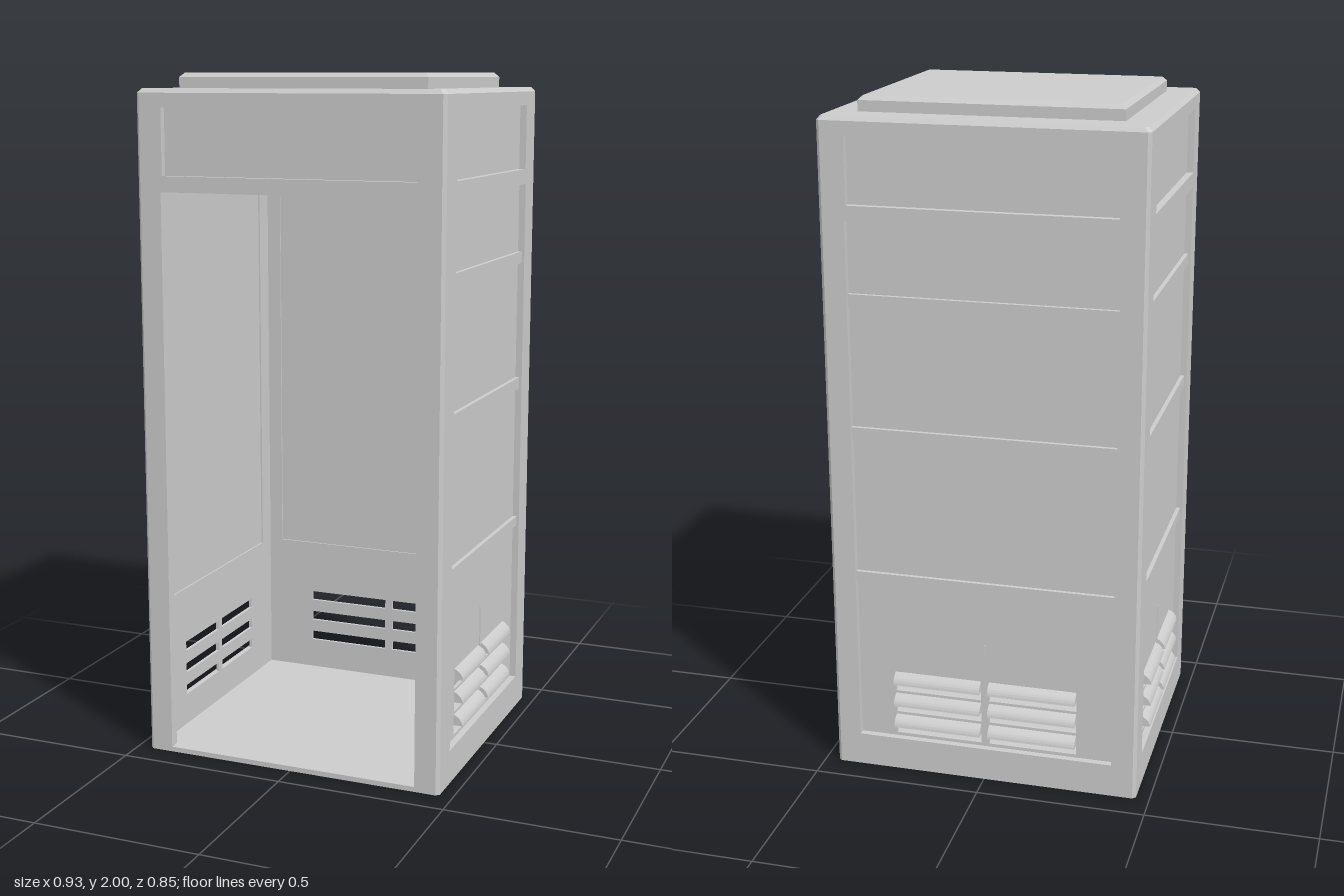
import * as THREE from 'three';

const mat = new THREE.MeshStandardMaterial({ color: 0xcccccc, side: THREE.DoubleSide });

function add(parent, name, geometry, x = 0, y = 0, z = 0) {
  const mesh = new THREE.Mesh(geometry, mat);
  mesh.name = name;
  mesh.position.set(x, y, z);
  parent.add(mesh);
  return mesh;
}

// box given by its min and max corners
function block(parent, name, [x0, y0, z0], [x1, y1, z1]) {
  return add(parent, name, new THREE.BoxGeometry(x1 - x0, y1 - y0, z1 - z0),
    (x0 + x1) / 2, (y0 + y1) / 2, (z0 + z1) / 2);
}

const polygon = (pts) => new THREE.Shape(pts.map(([x, y]) => new THREE.Vector2(x, y)));
const rect = (x0, y0, x1, y1) => polygon([[x0, y0], [x1, y0], [x1, y1], [x0, y1]]);
const extrude = (shape, depth) => new THREE.ExtrudeGeometry(shape, { depth, bevelEnabled: false, curveSegments: 6 });

// flat sheet in the xy plane with rectangular holes
function sheet(outer, holes, depth) {
  const shape = rect(...outer);
  shape.holes = holes.map((h) => rect(...h));
  return extrude(shape, depth);
}

// plan outline (x, z) raised between two heights
function prism(pts, y0, y1) {
  const g = extrude(polygon(pts.map(([x, z]) => [x, -z])), y1 - y0);
  return g.rotateX(-Math.PI / 2).translate(0, y0, 0);
}

// slab whose top is inset by a bevel
function bevelTop(g, hx, hz, inset) {
  g.computeBoundingBox();
  const p = g.attributes.position, top = g.boundingBox.max.y - 1e-4;
  for (let i = 0; i < p.count; i++) {
    if (p.getY(i) > top) {
      p.setX(i, p.getX(i) * (hx - inset) / hx);
      p.setZ(i, p.getZ(i) * (hz - inset) / hz);
    }
  }
  g.computeVertexNormals();
  return g;
}

const HX = 0.46, HZ = 0.42, T = 0.03, C = 0.01, TOP = 1.945;
const SLOT_Y = [0.11, 0.18, 0.25], SLOT_H = 0.03;

// one wall, built facing +z at distance d, then turned into place
function makeWall(name, angle, hw, d, openHalf, slotEnd, isDoor) {
  const wall = new THREE.Group();
  wall.name = name;
  wall.rotation.y = angle;
  const sign = [-openHalf + 0.005, 1.715, openHalf - 0.005, 1.905];
  const opening = [-openHalf, isDoor ? 0.015 : 0.1, openHalf, 1.67];
  add(wall, 'wallFrame', sheet([-hw, 0, hw, TOP], [sign, opening], T), 0, 0, d - T);
  block(wall, 'signPanel', [sign[0], sign[1], d - T], [sign[2], sign[3], d - 0.02]);
  if (isDoor) return wall;

  block(wall, 'windowPane', [-openHalf, 0.45, d - 0.025], [openHalf, 1.67, d - 0.02]);
  for (const [y0, y1] of [[0.6, 0.63], [1.04, 1.075], [1.43, 1.465]])
    block(wall, 'windowBar', [-openHalf, y0, d - 0.02], [openHalf, y1, d - 0.008]);

  // lower panel with two columns of vent slots and a hood above each slot
  const slots = [];
  for (const s of [-1, 1]) for (const y of SLOT_Y) {
    const a = s * 0.012, b = s * slotEnd;
    slots.push([Math.min(a, b), y, Math.max(a, b), y + SLOT_H]);
  }
  add(wall, 'ventPanel', sheet([-openHalf, 0.1, openHalf, 0.45], slots, 0.01), 0, 0, d - T);
  for (const [x0, , x1, y] of slots) {
    const hood = new THREE.Shape();
    hood.moveTo(d - 0.02, y);
    hood.lineTo(d + 0.007, y);
    hood.quadraticCurveTo(d + 0.004, y + 0.022, d - 0.02, y + 0.032);
    add(wall, 'ventHood', extrude(hood, x1 - x0).rotateY(-Math.PI / 2), x1, 0, 0);
  }
  block(wall, 'ventSeam', [-0.002, 0.28, d - 0.02], [0.002, 0.43, d - 0.017]);
  return wall;
}

function makePhone() {
  const phone = new THREE.Group();
  phone.name = 'wallPhone';
  const back = -HZ + 0.025, face = back + 0.11;
  block(phone, 'backPlate', [0.205, 0.95, back], [0.385, 1.455, back + 0.02]);
  // body with one sloping side
  add(phone, 'phoneBody', prism(
    [[0.185, back + 0.02], [0.185, face], [0.335, face], [0.37, back + 0.02]], 0.975, 1.44));

  // cradle: raised plate with an upper and a lower hook
  add(phone, 'cradlePlate', sheet([0.2, 1.175, 0.26, 1.405], [[0.21, 1.23, 0.25, 1.345]], 0.012), 0, 0, face);
  for (const y of [1.2, 1.365])
    block(phone, 'cradleHook', [0.215, y - 0.018, face], [0.255, y + 0.018, face + 0.035]);

  // coin slot and return
  block(phone, 'dividerStrip', [0.185, 1.14, face], [0.335, 1.147, face + 0.006]);
  add(phone, 'coinFrame', sheet([0.26, 0.985, 0.325, 1.14], [[0.27, 1.005, 0.312, 1.1]], 0.012), 0, 0, face);
  block(phone, 'coinFlap', [0.275, 1.01, face], [0.307, 1.075, face + 0.008]);

  // hanging cord and handset
  const z = face - 0.04;
  add(phone, 'cord', new THREE.CylinderGeometry(0.004, 0.004, 0.36, 8), 0.225, 0.8, z);
  const grip = new THREE.CatmullRomCurve3([
    [0.238, 0.622], [0.212, 0.595], [0.2, 0.53], [0.212, 0.465], [0.238, 0.438],
  ].map(([x, y]) => new THREE.Vector3(x, y, z)));
  add(phone, 'handsetGrip', new THREE.TubeGeometry(grip, 20, 0.014, 8));
  for (const y of [0.615, 0.445]) {
    const cup = add(phone, 'handsetCup', new THREE.CylinderGeometry(0.02, 0.016, 0.032, 12), 0.245, y, z);
    cup.rotation.z = -Math.PI / 2;
  }
  return phone;
}

export function createModel() {
  const booth = new THREE.Group();
  booth.name = 'phoneBooth';

  // four walls
  const ix = HX - T, iz = HZ - T;
  booth.add(makeWall('frontWall', 0, ix, HZ, 0.386, 0, true));
  booth.add(makeWall('backWall', Math.PI, ix, HZ, 0.386, 0.276, false));
  booth.add(makeWall('leftWall', Math.PI / 2, iz, HX, 0.328, 0.235, false));
  booth.add(makeWall('rightWall', -Math.PI / 2, iz, HX, 0.328, 0.235, false));

  // chamfered corner posts
  for (const sx of [-1, 1]) for (const sz of [-1, 1]) {
    const pts = [[ix, iz], [HX, iz], [HX, HZ - C], [HX - C, HZ], [ix, HZ]];
    add(booth, 'cornerPost', prism(pts.map(([x, z]) => [x * sx, z * sz]), 0, TOP));
  }

  // floor, ceiling and roof
  block(booth, 'floor', [-ix, 0, -iz], [ix, 0.015, iz]);
  block(booth, 'ceiling', [-ix, 1.68, -iz], [ix, 1.7, iz]);
  const plan = [[HX, HZ - C], [HX - C, HZ], [C - HX, HZ], [-HX, HZ - C],
    [-HX, C - HZ], [C - HX, -HZ], [HX - C, -HZ], [HX, C - HZ]];
  add(booth, 'roof', bevelTop(prism(plan, TOP, 1.957), HX, HZ, C));
  const cx = 0.373, cz = 0.32;
  const capPlan = [[cx, cz], [-cx, cz], [-cx, -cz], [cx, -cz]];
  add(booth, 'roofCapBase', prism(capPlan, 1.957, 1.988));
  add(booth, 'roofCapTop', bevelTop(prism(capPlan, 1.988, 2), cx, cz, 0.012));

  booth.add(makePhone());
  return booth;
}
